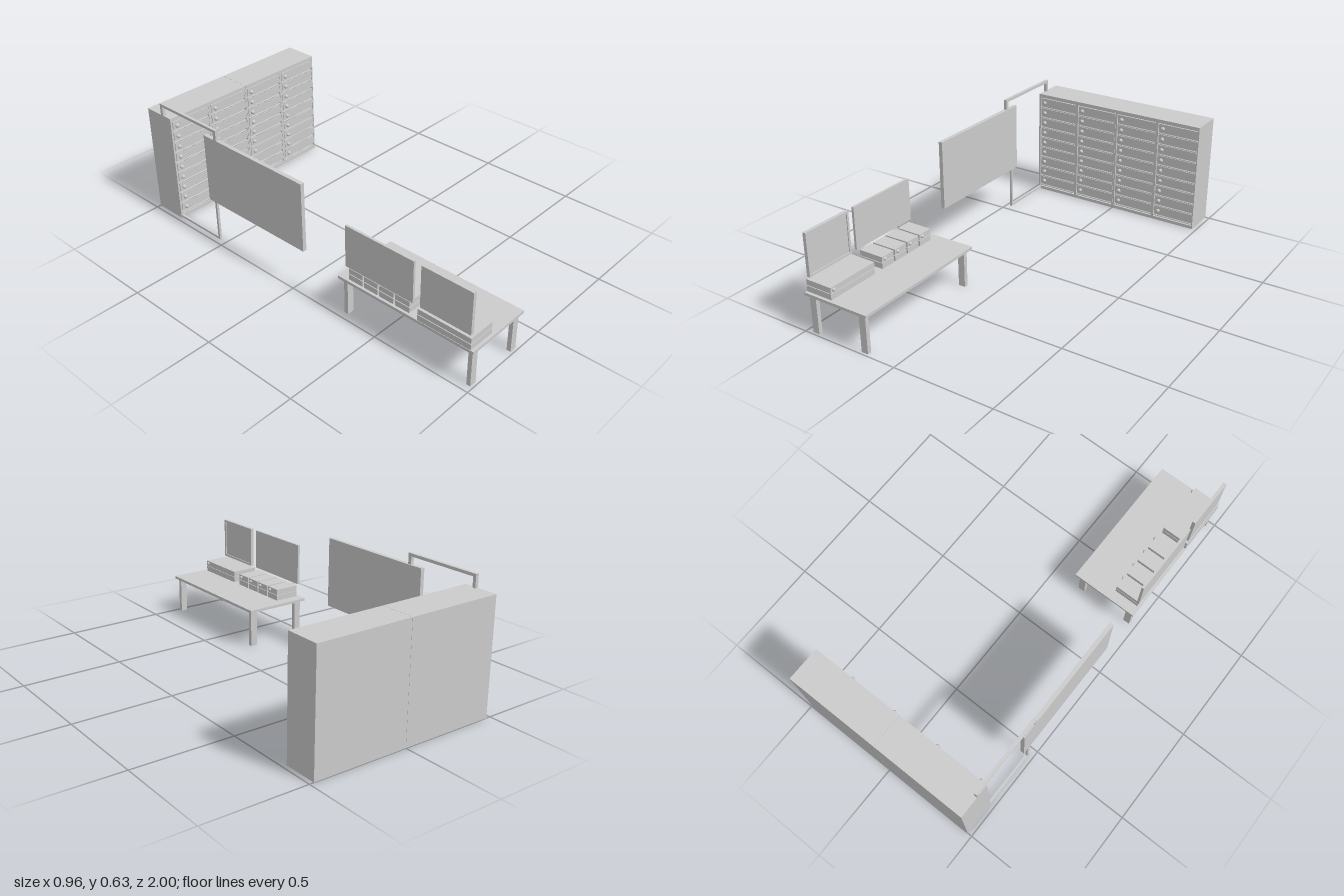
import * as THREE from 'three';

const material = new THREE.MeshStandardMaterial({ color: 0xcccccc });

export function createModel() {
  const root = new THREE.Group();

  const group = (name) => {
    const g = new THREE.Group();
    g.name = name;
    root.add(g);
    return g;
  };
  const add = (parent, name, geometry) => {
    const mesh = new THREE.Mesh(geometry, material);
    mesh.name = name;
    parent.add(mesh);
    return mesh;
  };
  // Box given by its extents along each axis
  const box = (parent, name, x0, x1, y0, y1, z0, z1) => {
    const mesh = add(parent, name, new THREE.BoxGeometry(x1 - x0, y1 - y0, z1 - z0));
    mesh.position.set((x0 + x1) / 2, (y0 + y1) / 2, (z0 + z1) / 2);
    return mesh;
  };
  const knob = (parent, x, y, z, r) => {
    add(parent, 'knob', new THREE.SphereGeometry(r, 16, 12)).position.set(x, y, z);
  };
  const rect = (x0, x1, y0, y1, Type = THREE.Path) => new Type([
    new THREE.Vector2(x0, y0), new THREE.Vector2(x1, y0),
    new THREE.Vector2(x1, y1), new THREE.Vector2(x0, y1),
  ]);

  // Drawer cabinet: two carcasses side by side, with nine rows of drawers
  const cabinet = group('drawerCabinet');
  const top = 0.565, front = -0.83, back = -1, recess = 0.012;
  const columns = [[-0.468, -0.245], [-0.23, -0.007], [0.01, 0.235], [0.25, 0.473]];
  const rows = 9, pitch = 0.058, firstKnob = 0.054;

  [-1, 1].forEach((side) => {
    const x0 = side < 0 ? -0.478 : 0.0005, x1 = side < 0 ? -0.0005 : 0.478;
    box(cabinet, 'cabinetBody', x0, x1, 0, top, back, front - recess);
    // Face frame with an opening for each column
    const frame = rect(x0, x1, 0, top, THREE.Shape);
    columns.filter(([a]) => Math.sign(a) === side)
      .forEach(([a, b]) => frame.holes.push(rect(a, b, 0.017, 0.546)));
    const geometry = new THREE.ExtrudeGeometry(frame, { depth: recess, bevelEnabled: false });
    add(cabinet, 'faceFrame', geometry).position.z = front - recess;
  });

  columns.forEach(([a, b]) => {
    for (let i = 0; i < rows; i++) {
      const y = firstKnob + i * pitch;
      box(cabinet, 'drawerFront', a + 0.004, b, y - 0.018, y + 0.024, front - recess, front - 0.001);
      // Rounded rail below each drawer
      const rail = add(cabinet, 'drawerRail', new THREE.CapsuleGeometry(0.004, b - a - 0.009, 4, 8));
      rail.rotation.z = Math.PI / 2;
      rail.position.set((a + b) / 2, y - 0.029, front - 0.004);
      knob(cabinet, a + 0.027, y, front + 0.001, 0.0105);
    }
  });

  // Hanging board with its upper and lower connecting pipes
  const board = group('wallBoard');
  box(board, 'boardPanel', -0.48, -0.46, 0.223, 0.575, -0.58, 0.057);
  const pipes = group('connectingPipes');
  box(pipes, 'upperPipe', -0.48, -0.464, 0.614, 0.628, -0.896, -0.493);
  box(pipes, 'upperPost', -0.48, -0.464, 0.575, 0.614, -0.511, -0.493);
  box(pipes, 'upperPost', -0.48, -0.464, 0.565, 0.614, -0.896, -0.88);
  box(pipes, 'lowerPost', -0.476, -0.464, 0.005, 0.223, -0.547, -0.535);
  box(pipes, 'lowerPipe', -0.476, -0.464, 0.005, 0.016, front, -0.547);

  // Table
  const table = group('table');
  box(table, 'tableTop', -0.48, -0.135, 0.186, 0.2, 0.27, 1);
  [[-0.465, -0.43], [-0.186, -0.151]].forEach(([x0, x1]) => {
    [[0.291, 0.312], [0.967, 0.987]].forEach(([z0, z1]) => {
      box(table, 'tableLeg', x0, x1, 0, 0.186, z0, z1);
    });
  });

  // Small cases on the table: a base, a narrow shadow gap and an upper case
  const cases = group('equipmentCases');
  const stack = (x0, z0, z1) => {
    box(cases, 'caseBase', x0, -0.338, 0.2, 0.228, z0, z1);
    box(cases, 'caseGap', x0 + 0.004, -0.342, 0.228, 0.232, z0 + 0.004, z1 - 0.004);
    box(cases, 'caseTop', x0, -0.338, 0.232, 0.259, z0, z1);
    knob(cases, -0.337, 0.245, z1 - 0.018, 0.009);
  };
  stack(-0.478, 0.712, 0.985);
  for (let i = 0; i < 4; i++) stack(-0.467, 0.322 + i * 0.087, 0.4 + i * 0.087);

  // Screens standing behind the cases
  const screens = group('screens');
  const screen = (z0, z1, bezel) => {
    box(screens, 'screenPanel', -0.475, -0.463, 0.27, 0.48, z0, z1);
    if (!bezel) return;
    // Raised rim facing the table
    const rim = rect(-z1, -z0, 0.27, 0.48, THREE.Shape);
    rim.holes.push(rect(-z1 + bezel, -z0 - bezel, 0.27 + bezel, 0.48 - bezel));
    const mesh = add(screens, 'screenRim',
      new THREE.ExtrudeGeometry(rim, { depth: 0.005, bevelEnabled: false }));
    mesh.rotation.y = Math.PI / 2;
    mesh.position.x = -0.463;
  };
  screen(0.722, 0.98, 0.011);
  screen(0.31, 0.684, 0);

  return root;
}
